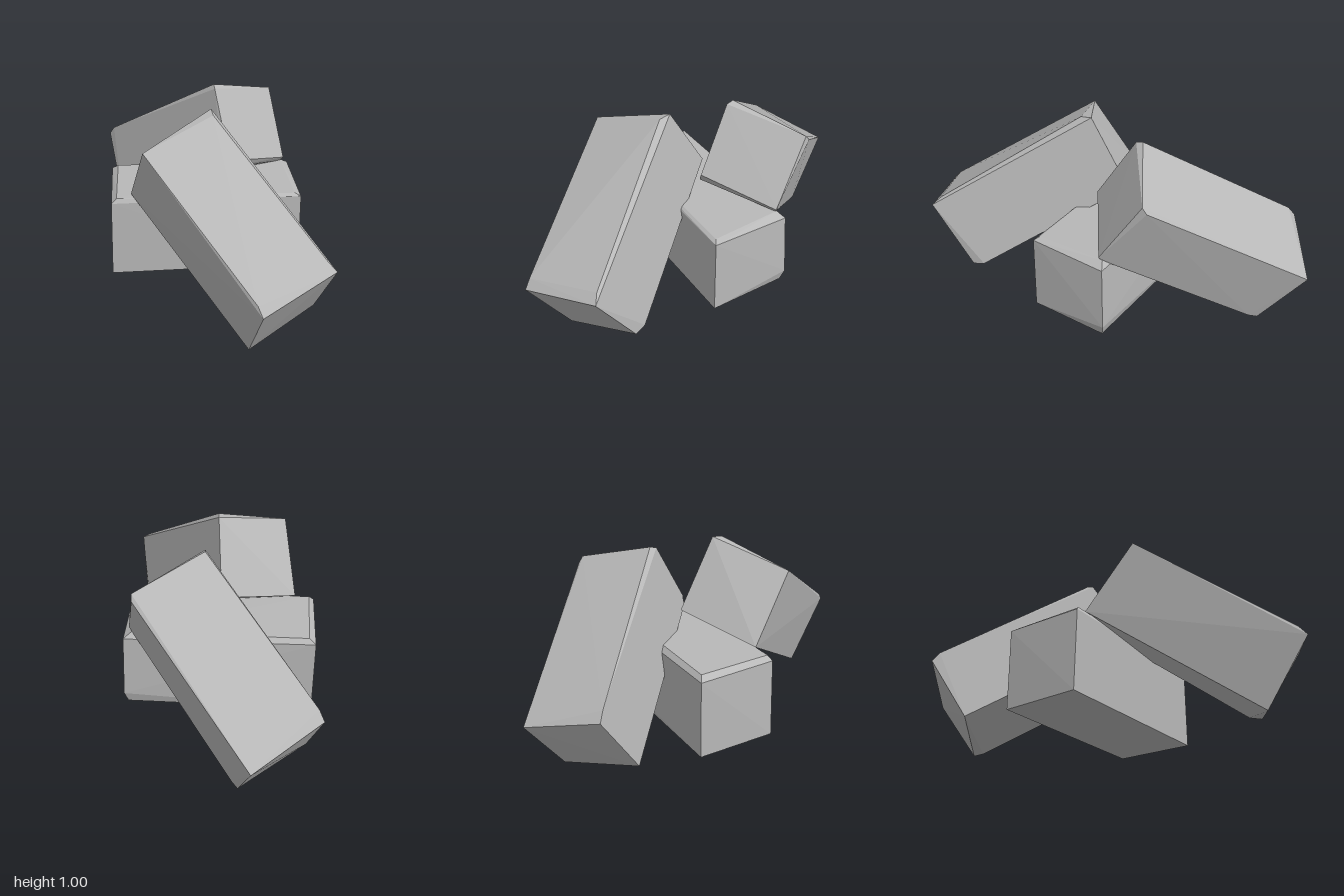
import * as THREE from 'three';
import { ConvexGeometry } from 'three/addons/geometries/ConvexGeometry.js';

// A roughly hewn block: the convex hull of its corners and chipped edges
function hewnBlock(name, corners, material) {
  const points = corners.map((c) => new THREE.Vector3(...c));
  const mesh = new THREE.Mesh(new ConvexGeometry(points), material);
  mesh.name = name;
  return mesh;
}

export function createModel() {
  const group = new THREE.Group();
  group.name = 'stoneBlocks';
  const stone = new THREE.MeshStandardMaterial({ color: 0xb8b8b8 });
  stone.name = 'grey stone';

  // Long block leaning back from the front
  group.add(hewnBlock('frontLeaningBlock', [
    // lower end
    [-0.62, 0.365, 0.89], [-0.2, 0.46, 1.0], [-0.05, 0.125, 0.74], [-0.48, 0.005, 0.7],
    // upper end
    [-0.52, 0.885, 0.03], [-0.09, 1.01, 0.1], [0.04, 0.64, -0.08], [-0.4, 0.53, -0.2],
    // chipped edges
    [-0.61, 0.41, 0.85], [-0.21, 0.5, 0.95], [-0.13, 1.0, 0.15], [-0.08, 0.11, 0.8],
  ], stone));

  // Long block leaning forward from the back
  group.add(hewnBlock('backLeaningBlock', [
    // upper end
    [0.165, 0.995, -0.1], [0.6, 0.89, -0.06], [0.5, 0.535, 0.14], [0.075, 0.65, 0.09],
    // lower end
    [0.17, 0.46, -1.0], [0.59, 0.34, -0.95], [0.485, 0.015, -0.74], [0.06, 0.1, -0.79],
    // chipped edges
    [0.19, 1.007, -0.13], [0.615, 0.86, -0.08], [0.495, 0.51, 0.12], [0.06, 0.6, 0.06],
    [0.17, 0.51, -0.96], [0.485, 0.03, -0.69],
  ], stone));

  // Flat block lying diagonally underneath
  group.add(hewnBlock('baseBlock', [
    // underside
    [0.25, 0.055, 0.46], [0.545, 0.055, 0.13], [-0.2, 0.05, -0.57], [-0.51, 0.05, -0.26],
    // upper rim
    [0.25, 0.49, 0.455], [0.55, 0.485, 0.13], [-0.2, 0.49, -0.57], [-0.5, 0.49, -0.25],
    // worn top
    [0.24, 0.503, 0.42], [0.5, 0.515, 0.12], [-0.19, 0.515, -0.53], [-0.47, 0.515, -0.24],
    // chipped corner
    [0.57, 0.12, 0.13],
  ], stone));

  return group;
}
